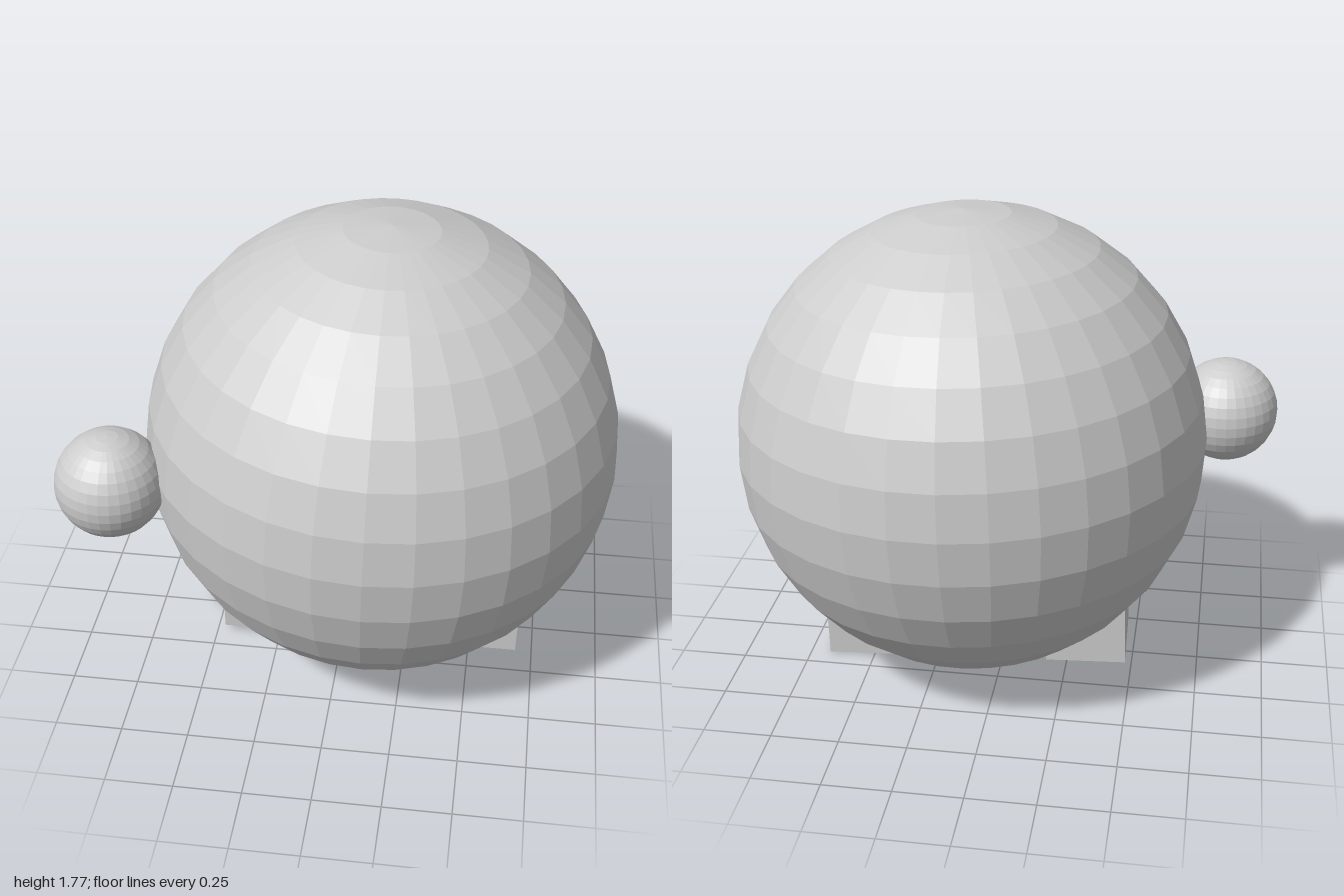
import * as THREE from 'three';

export function createModel() {
  const model = new THREE.Group();
  const grey = new THREE.MeshStandardMaterial({ color: 0xcccccc, flatShading: true });
  grey.name = 'light grey';

  // The whole figure leans and turns slightly about the body centre
  const figure = new THREE.Group();
  figure.name = 'figure';
  figure.position.set(0.13, 0.9, 0);
  figure.rotation.set(0, THREE.MathUtils.degToRad(1.9), THREE.MathUtils.degToRad(-1.7));
  model.add(figure);

  const addPart = (name, geometry, x, y, z) => {
    const mesh = new THREE.Mesh(geometry, grey);
    mesh.name = name;
    mesh.position.set(x, y, z);
    figure.add(mesh);
  };
  const ball = (radius) => new THREE.SphereGeometry(radius, 32, 16);

  // Round body and the single ball hand at its right
  addPart('body', ball(0.87), 0, 0, 0);
  addPart('rightHand', ball(0.2), -0.944, -0.038, 0.372);

  // Square feet, sunk into the underside of the body
  for (const [name, side] of [['leftFoot', 1], ['rightFoot', -1]]) {
    addPart(name, new THREE.BoxGeometry(0.305, 0.305, 0.31), side * 0.425, -0.73, 0);
  }
  return model;
}
